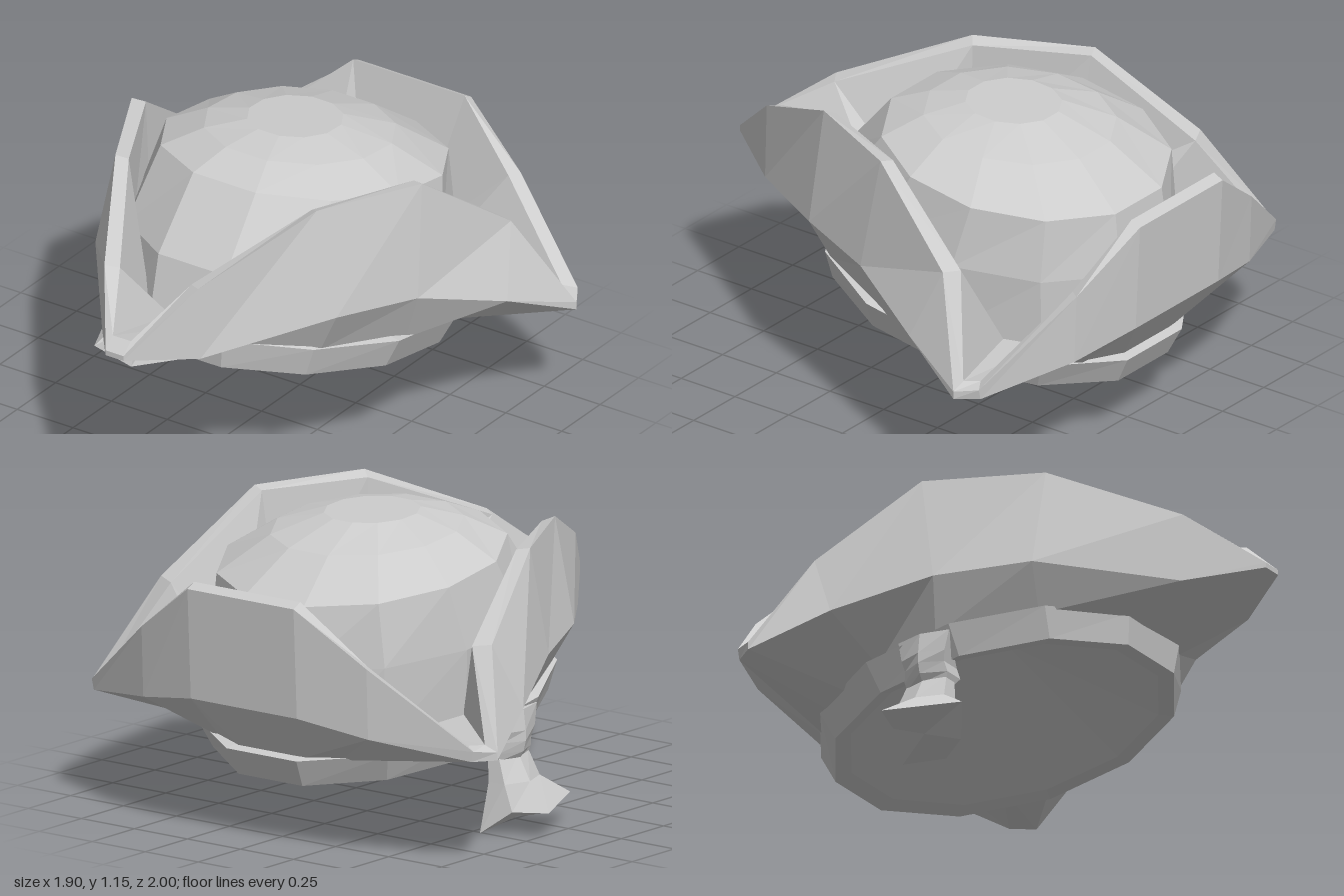
import * as THREE from 'three';

const material = new THREE.MeshStandardMaterial({ color: 0xcccccc, flatShading: true });
const rad = THREE.MathUtils.degToRad;

// Skins closed rings of points; the faces look outward when the rings rise.
function loft(name, rings, capStart = false, capEnd = false) {
  const n = rings[0].length;
  const pos = [];
  const tri = (a, b, c) => pos.push(...a, ...b, ...c);
  for (let i = 0; i < rings.length - 1; i++) {
    for (let j = 0; j < n; j++) {
      const k = (j + 1) % n;
      const a = rings[i][j], b = rings[i][k], c = rings[i + 1][k], d = rings[i + 1][j];
      tri(a, b, c);
      tri(a, c, d);
    }
  }
  const cap = (ring, flip) => {
    const mid = [0, 1, 2].map(q => ring.reduce((s, p) => s + p[q], 0) / n);
    ring.forEach((p, j) => {
      const next = ring[(j + 1) % n];
      flip ? tri(mid, next, p) : tri(mid, p, next);
    });
  };
  if (capStart) cap(rings[0], true);
  if (capEnd) cap(rings[rings.length - 1], false);
  const geo = new THREE.BufferGeometry();
  geo.setAttribute('position', new THREE.Float32BufferAttribute(pos, 3));
  geo.computeVertexNormals();
  const mesh = new THREE.Mesh(geo, material);
  mesh.name = name;
  return mesh;
}

// Elliptical ring, tilted so that its front and back reach the given heights.
function ring(n, start, rx, rz, cx, cz, yFront, yBack = yFront) {
  return Array.from({ length: n }, (_, j) => {
    const t = rad(start + (j * 360) / n);
    const c = Math.cos(t);
    return [cx + rx * Math.sin(t), (yFront + yBack) / 2 + (c * (yFront - yBack)) / 2, cz + rz * c];
  });
}
const hatRing = (rx, rz, cz, yFront, yBack) => ring(12, 15, rx, rz, 0, cz, yFront, yBack);

// Brim stations on the left half, front to back:
// angle at the crown, then fold, outer rim and inner rim points.
const stations = [
  [8, [0.04, 0.68, 1.0], [0.04, 0.7, 1.0], [0.04, 0.74, 0.95]],
  [20, [0.22, 0.63, 0.75], [0.21, 0.92, 0.75], [0.16, 0.91, 0.72]],
  [48, [0.54, 0.7, 0.31], [0.45, 1.12, 0.31], [0.41, 1.1, 0.28]],
  [82, [0.68, 0.67, -0.03], [0.65, 1.11, -0.1], [0.6, 1.1, -0.12]],
  [105, [0.84, 0.55, -0.38], [0.78, 0.82, -0.49], [0.71, 0.81, -0.52]],
  [122, [0.95, 0.42, -0.67], [0.95, 0.45, -0.67], [0.89, 0.47, -0.67]],
  [135, [0.89, 0.42, -0.75], [0.9, 0.46, -0.75], [0.85, 0.47, -0.72]],
  [152, [0.53, 0.48, -0.91], [0.53, 0.75, -0.92], [0.5, 0.75, -0.88]],
  [168, [0.25, 0.53, -0.98], [0.25, 0.95, -1.0], [0.25, 0.97, -0.96]],
];

function brim() {
  // point on the tilted seam between brim and crown
  const seam = (angle, rx, rz, lift) => {
    const t = rad(angle);
    const z = -0.17 + rz * Math.cos(t);
    return [rx * Math.sin(t), 0.33 + (z + 0.85) * 0.178 + lift, z];
  };
  const half = stations.map(([angle, fold, outer, inner]) =>
    [seam(angle, 0.6, 0.67, -0.01), fold, outer, inner, seam(angle, 0.55, 0.68, 0.05)]);
  // the right side flap sits slightly lower
  const droop = (y, z) => (z > -0.6 && z < 0.9 ? y - 0.06 * Math.max(0, y - 0.45) : y);
  const mirrored = half.map(s => s.map(([x, y, z]) => [-x, droop(y, z), z])).reverse();
  const all = [...half, ...mirrored].map(s =>
    s.map(([x, y, z]) => [x + 0.03 * Math.max(0, z), y, z])); // front point leans a little left
  return loft('foldedBrim', [0, 1, 2, 3, 4].map(q => all.map(s => s[q])));
}

function tassel() {
  const group = new THREE.Group();
  group.name = 'tassel';
  const around = (rx, rz, x, y) => ring(6, -90, rx, rz, x, -0.12, y);
  group.add(loft('knot', [
    around(0.055, 0.1, -0.56, 0.27), around(0.085, 0.11, -0.55, 0.3), around(0.085, 0.1, -0.56, 0.34),
    around(0.065, 0.11, -0.58, 0.38), around(0.055, 0.13, -0.58, 0.46),
  ], true, true));
  // ragged flared end
  const hem = [
    [-0.8, 0.1, -0.18], [-0.68, 0.11, 0.1], [-0.57, 0.02, 0.02],
    [-0.46, 0.02, -0.12], [-0.54, 0, -0.26], [-0.66, 0.09, -0.22],
  ];
  group.add(loft('tail', [hem, around(0.075, 0.12, -0.59, 0.19), around(0.05, 0.1, -0.56, 0.29)], true, true));
  return group;
}

export function createModel() {
  const hat = new THREE.Group();
  hat.name = 'hat';

  // Crown: sloping wall, crease, then a shallow faceted dome
  hat.add(loft('crown', [
    hatRing(0.56, 0.7, -0.16, 0.59, 0.36),
    hatRing(0.58, 0.665, -0.19, 0.82, 0.66),
    hatRing(0.54, 0.54, -0.28, 1.07, 0.9),
    hatRing(0.36, 0.36, -0.25, 1.125, 1.05),
    hatRing(0.18, 0.18, -0.22, 1.15, 1.13),
  ], false, true));

  hat.add(brim());

  // Head band with the hollow inside of the hat
  hat.add(loft('headBand', [
    hatRing(0.001, 0.001, -0.17, 0.68, 0.68),
    hatRing(0.53, 0.61, -0.17, 0.45, 0.25),
    hatRing(0.58, 0.675, -0.17, 0.45, 0.225),
    hatRing(0.635, 0.71, -0.19, 0.57, 0.33),
    hatRing(0.57, 0.66, -0.17, 0.585, 0.35),
  ]));

  hat.add(tassel());
  return hat;
}
